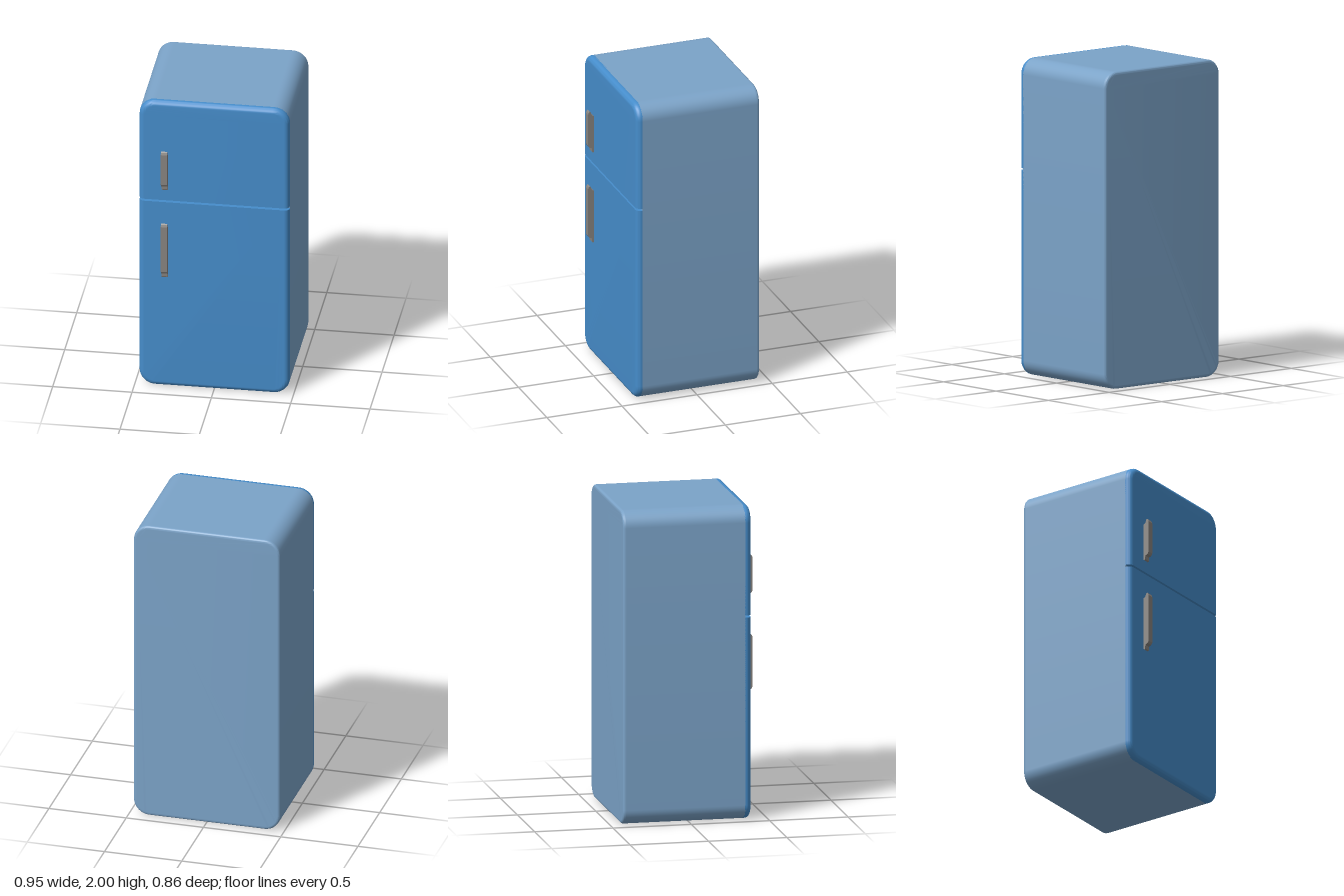
import * as THREE from 'three';
import { toCreasedNormals } from 'three/addons/utils/BufferGeometryUtils.js';

const HALF_W = 0.473, HEIGHT = 2, CORNER = 0.1;
const BACK = -0.428, SEAM_Z = 0.352, DOOR_FRONT = 0.39;
const GAP_LOW = 1.296, GAP_HIGH = 1.31;

// Counter-clockwise outline; only the top and bottom of the whole fridge are rounded and inset
function outline(inset, y0, y1) {
  const w = HALF_W - inset, r = CORNER - inset, pts = [], pad = 0.006, steps = 10;
  const low = y0 === 0, high = y1 === HEIGHT;
  const bottom = low ? inset : y0, top = high ? y1 - inset : y1;
  const corner = (sx, sy, round, start) => {
    const x = sx * w, y = sy > 0 ? top : bottom;
    if (!round) return pts.push([x, y]);
    const cx = x - sx * r, cy = y - sy * r;
    const at = (a, along) => pts.push([
      cx + r * Math.cos(a) - along * Math.sin(a),
      cy + r * Math.sin(a) + along * Math.cos(a)]);
    at(start, -pad);
    for (let i = 0; i <= steps; i++) at(start + (i / steps) * Math.PI / 2, 0);
    at(start + Math.PI / 2, pad);
  };
  corner(1, 1, high, 0);
  corner(-1, 1, high, Math.PI / 2);
  corner(-1, -1, low, Math.PI);
  corner(1, -1, low, Math.PI * 1.5);
  return pts;
}

// Skin a list of [z, inset] sections from back to front and cap both ends
function loft(sections, y0, y1) {
  const pos = [], index = [];
  let n = 0;
  for (const [z, inset] of sections) {
    const ring = outline(inset, y0, y1);
    n = ring.length;
    for (const [x, y] of ring) pos.push(x, y, z);
  }
  for (let s = 0; s < sections.length - 1; s++) {
    for (let i = 0; i < n; i++) {
      const a = s * n + i, b = s * n + (i + 1) % n;
      index.push(a, b, b + n, a, b + n, a + n);
    }
  }
  const last = (sections.length - 1) * n;
  for (let i = 1; i < n - 1; i++) {
    index.push(0, i + 1, i, last, last + i, last + i + 1);
  }
  const geo = new THREE.BufferGeometry();
  geo.setAttribute('position', new THREE.Float32BufferAttribute(pos, 3));
  geo.setIndex(index);
  return toCreasedNormals(geo, 0.6);
}

// Quarter-round edge running from the side wall onto the face at z
function roundedEdge(z, radius, dir, steps) {
  const list = [[z - dir * (radius + 0.004), 0]];
  for (let i = 0; i <= steps; i++) {
    const a = (i / steps) * Math.PI / 2;
    list.push([z - dir * radius * (1 - Math.sin(a)), radius * (1 - Math.cos(a))]);
  }
  list.push([z, radius + 0.005]);
  return list;
}

export function createModel() {
  const group = new THREE.Group();
  const bodyMat = new THREE.MeshStandardMaterial({ color: 0x7ba3c8 });
  const doorMat = new THREE.MeshStandardMaterial({ color: 0x468dcb });
  const handleMat = new THREE.MeshStandardMaterial({ color: 0x888480 });
  const add = (name, geo, mat) => {
    const mesh = new THREE.Mesh(geo, mat);
    mesh.name = name;
    group.add(mesh);
    return mesh;
  };

  // Cabinet with a small rounding around the back
  const cabinet = [...roundedEdge(BACK, 0.016, -1, 5).reverse(), [SEAM_Z - 0.005, 0], [SEAM_Z, 0]];
  add('cabinet', loft(cabinet, 0, HEIGHT), bodyMat);

  // Doors, cut flat at the gap between them
  const door = [[SEAM_Z - 0.004, 0], ...roundedEdge(DOOR_FRONT, 0.033, 1, 7)];
  add('fridgeDoor', loft(door, 0, GAP_LOW), doorMat);
  add('freezerDoor', loft(door, GAP_HIGH, HEIGHT), doorMat);

  // Handles: a side profile (depth, height) extruded across the width
  const handleWidth = 0.04;
  const addHandle = (name, y0, y1) => {
    const profile = [
      [-0.005, y0 + 0.008], [0.005, y0], [0.012, y0 + 0.006], [0.013, y0 + 0.03],
      [0.03, y0 + 0.037], [0.038, y0 + 0.052], [0.038, y1 - 0.02],
      [0.033, y1 - 0.006], [0.026, y1], [0.02, y1 - 0.006], [0.012, y1 - 0.028], [-0.005, y1 - 0.034],
    ].map(([d, y]) => new THREE.Vector2(-d, y));
    const geo = new THREE.ExtrudeGeometry(new THREE.Shape(profile), {
      depth: handleWidth, bevelEnabled: false,
    });
    geo.rotateY(Math.PI / 2);
    const handle = add(name, geo, handleMat);
    handle.position.set(-0.31 - handleWidth / 2, 0, DOOR_FRONT);
  };
  addHandle('freezerHandle', 1.385, 1.665);
  addHandle('fridgeHandle', 0.772, 1.158);

  return group;
}
